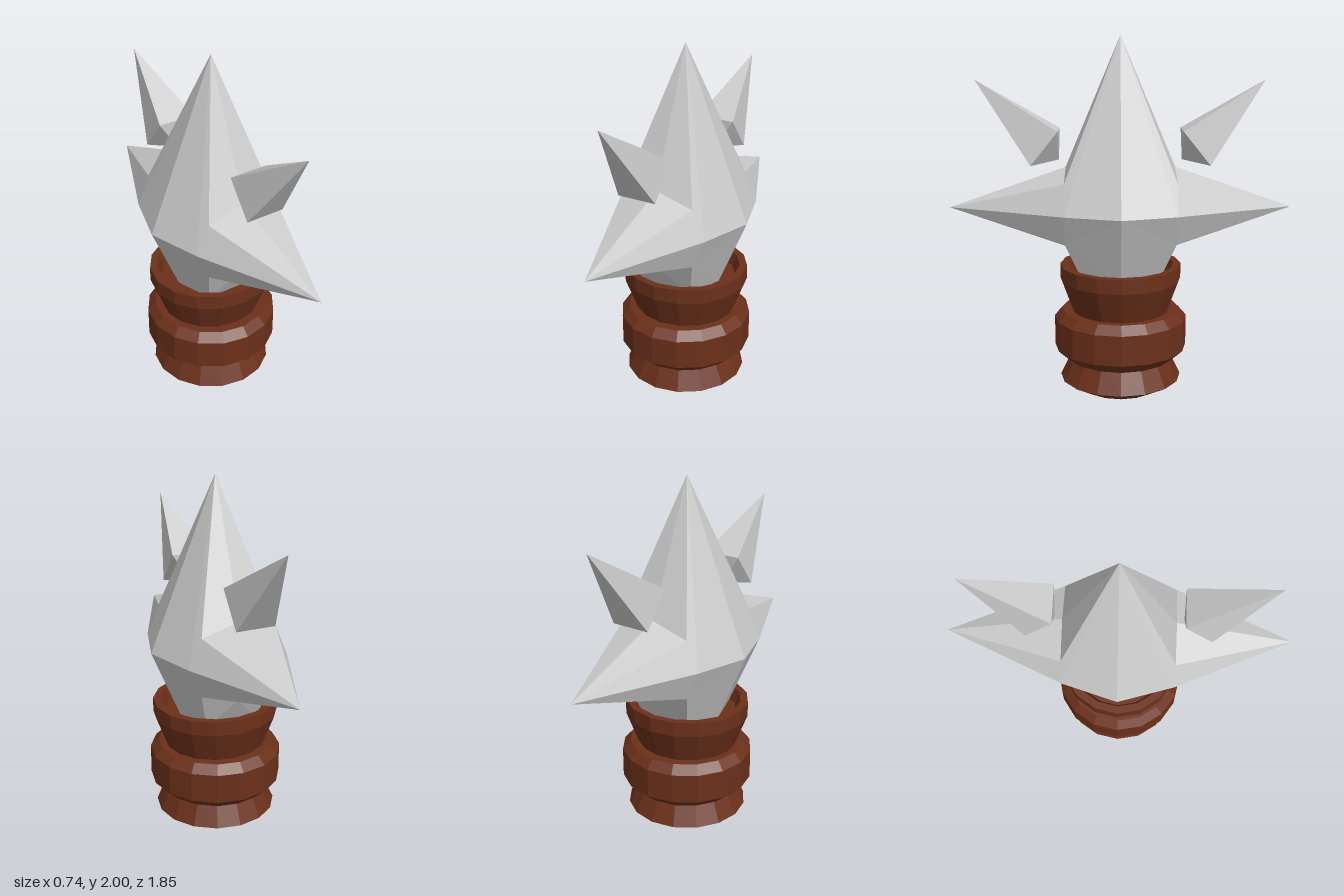
import * as THREE from 'three';

const stone = new THREE.MeshStandardMaterial({ color: 0xcccccc, flatShading: true });
const wood = new THREE.MeshStandardMaterial({ color: 0x6b301a, flatShading: true });

// Mirrors the triangles of one +x quadrant by the given [sx, sz] signs, keeping faces outward
function mirrored(name, points, faces, signs) {
  const pos = [];
  for (const [sx, sz] of signs) {
    for (const [a, b, c] of faces) {
      const order = sx * sz > 0 ? [a, b, c] : [a, c, b];
      for (const key of order) {
        const [x, y, z] = points[key];
        pos.push(x * sx, y, z * sz);
      }
    }
  }
  const geo = new THREE.BufferGeometry();
  geo.setAttribute('position', new THREE.Float32BufferAttribute(pos, 3));
  geo.computeVertexNormals();
  const mesh = new THREE.Mesh(geo, stone);
  mesh.name = name;
  return mesh;
}

// Turned part from a [radius, height] profile, bottom to top
function turned(name, profile) {
  const geo = new THREE.LatheGeometry(profile.map(([r, y]) => new THREE.Vector2(r, y)), 16);
  const mesh = new THREE.Mesh(geo, wood);
  mesh.name = name;
  return mesh;
}

export function createModel() {
  const group = new THREE.Group();
  group.name = 'crystalOnHandle';

  // Crystal head: tall point, long front and back spikes, tapered root in the cup
  const head = {
    top: [0, 2, 0], side: [0.37, 1.085, 0], waist: [0.28, 1.085, 0.295],
    upper: [0.21, 1.245, 0.295], upperMid: [0, 1.305, 0.295], tip: [0, 1.085, 0.925],
    lower: [0.21, 0.925, 0.295], lowerMid: [0, 0.865, 0.295],
    root: [0.145, 0.7, 0.2], rootMid: [0, 0.7, 0.2], rootSide: [0.21, 0.7, 0],
  };
  const headFaces = [
    ['top', 'upperMid', 'upper'], ['top', 'upper', 'waist'], ['top', 'waist', 'side'],
    ['upperMid', 'tip', 'upper'], ['upper', 'tip', 'waist'],
    ['tip', 'lower', 'waist'], ['tip', 'lowerMid', 'lower'],
    ['waist', 'lower', 'side'], ['lower', 'root', 'rootSide'], ['lower', 'rootSide', 'side'],
    ['lowerMid', 'rootMid', 'root'], ['lowerMid', 'root', 'lower'],
  ];
  group.add(mirrored('crystalHead', head, headFaces, [[1, 1], [-1, 1], [1, -1], [-1, -1]]));

  // Floating shards: four-sided spike with a short inward point
  const shard = {
    tip: [0, 1.77, 0.77], up: [0.107, 1.505, 0.33], upMid: [0, 1.505, 0.33],
    low: [0.107, 1.325, 0.475], lowMid: [0, 1.325, 0.475], inner: [0, 1.345, 0.33],
  };
  const shardFaces = [
    ['tip', 'lowMid', 'low'], ['tip', 'low', 'up'], ['up', 'upMid', 'tip'],
    ['up', 'low', 'inner'], ['low', 'lowMid', 'inner'], ['upMid', 'up', 'inner'],
  ];
  for (const [name, sz] of [['frontShard', 1], ['backShard', -1]]) {
    group.add(mirrored(name, shard, shardFaces, [[1, sz], [-1, sz]]));
  }

  // Handle: pommel, grip ring and open cup
  group.add(turned('pommel', [[0, 0.005], [0.22, 0.06], [0.335, 0.125], [0.27, 0.26]]));
  group.add(turned('gripRing', [
    [0, 0.245], [0.3, 0.245], [0.365, 0.305], [0.365, 0.47], [0.32, 0.515], [0, 0.515],
  ]));
  const cup = turned('cup', [
    [0.275, 0.5], [0.285, 0.525], [0.347, 0.69], [0.347, 0.77], [0.305, 0.77], [0.28, 0.705], [0, 0.705],
  ]);
  cup.scale.z = 0.955;
  group.add(cup);

  return group;
}
